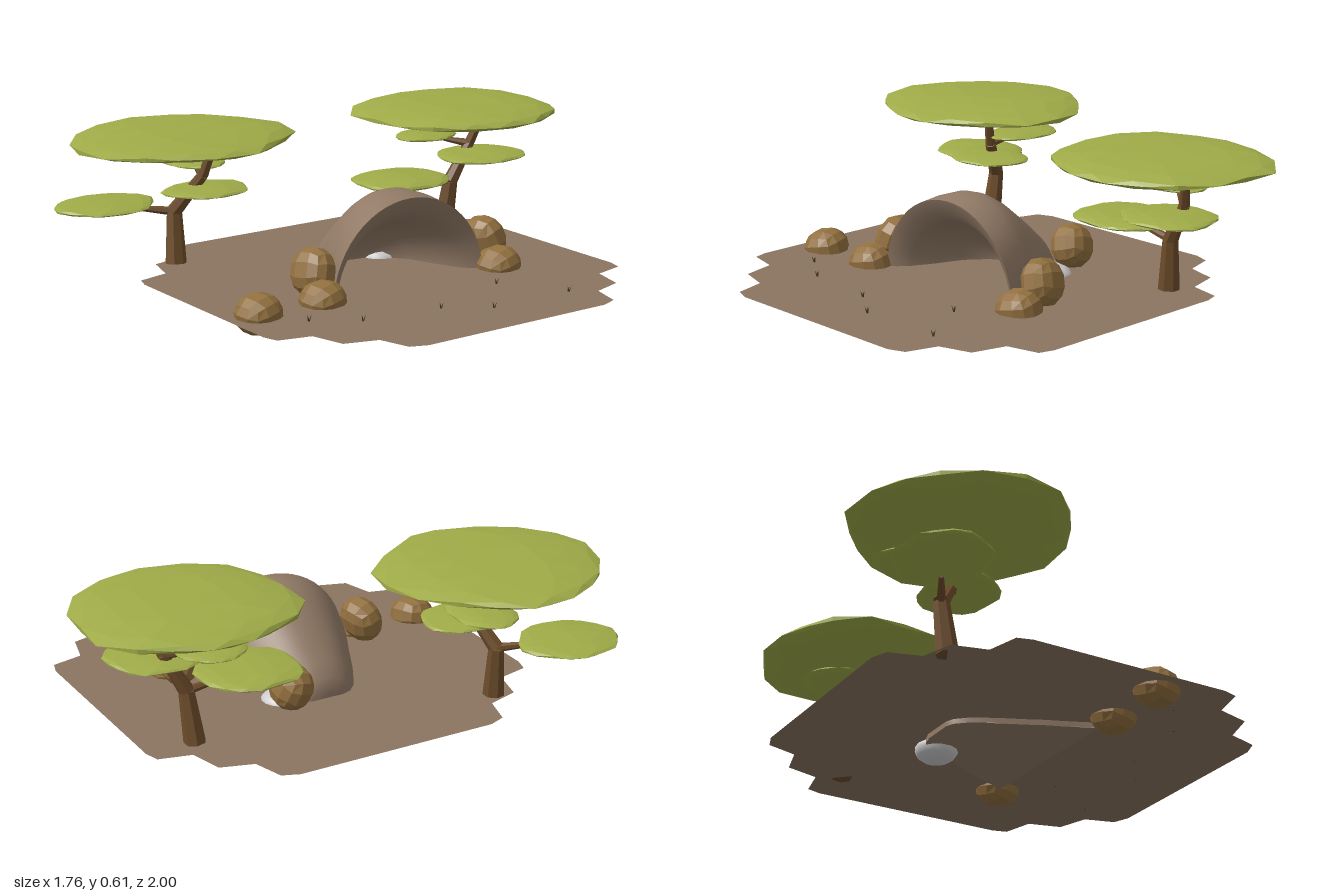
import * as THREE from 'three';

const mat = (color, extra = {}) => {
  const m = new THREE.MeshStandardMaterial({ color, ...extra });
  return m;
};
const flat = { flatShading: true };
const groundMat = mat(0x8b7460, { side: THREE.DoubleSide });
const caveMat = mat(0x917a66, { side: THREE.DoubleSide });
const rockMat = mat(0x92703f, flat);
const greyMat = mat(0xcccccc);
const barkMat = mat(0x6e4d2b, flat);
const leafMat = mat(0x9fab48, flat);
const grassMat = mat(0x4a3a22, flat);
const V = (x, y, z) => new THREE.Vector3(x, y, z);

function add(parent, name, geometry, material) {
  const mesh = new THREE.Mesh(geometry, material);
  mesh.name = name;
  parent.add(mesh);
  return mesh;
}

// Flat shape lying in the xz plane at height y
function flatShape(points, y) {
  const shape = new THREE.Shape(points.map(([x, z]) => new THREE.Vector2(x, -z)));
  return new THREE.ShapeGeometry(shape).rotateX(-Math.PI / 2).translate(0, y, 0);
}

// Smooth skin over half-elliptic arches [x, halfWidth, height]
function archSkin(stations, baseY, centreZ, n = 28) {
  const pos = [], idx = [];
  stations.forEach(([x, w, h], i) => {
    for (let j = 0; j <= n; j++) {
      const t = (Math.PI * j) / n;
      pos.push(x, baseY + h * Math.sin(t), centreZ + w * Math.cos(t));
      if (i && j) {
        const a = i * (n + 1) + j, b = a - n - 1;
        idx.push(b - 1, a - 1, b, b, a - 1, a);
      }
    }
  });
  const g = new THREE.BufferGeometry();
  g.setAttribute('position', new THREE.Float32BufferAttribute(pos, 3));
  g.setIndex(idx);
  g.computeVertexNormals();
  return g;
}

// Tapered limb between two points
function limb(parent, name, a, b, r0, r1) {
  const dir = b.clone().sub(a);
  const m = add(parent, name, new THREE.CylinderGeometry(r1, r0, dir.length(), 7), barkMat);
  m.position.copy(a).add(b).multiplyScalar(0.5);
  m.quaternion.setFromUnitVectors(V(0, 1, 0), dir.normalize());
}

// Irregular flattened leaf pad
function leafPad(parent, [x, y, z, rx, ry, rz], seed) {
  const g = new THREE.IcosahedronGeometry(1, 2);
  const p = g.attributes.position;
  for (let i = 0; i < p.count; i++) {
    const v = V().fromBufferAttribute(p, i);
    const k = 1 + 0.04 * Math.sin(v.x * 5 + seed) + 0.04 * Math.sin(v.z * 7 + seed * 2) * Math.cos(v.y * 4);
    p.setXYZ(i, v.x * k, v.y * (v.y < 0 ? 0.8 : 1) * k, v.z * k);
  }
  g.scale(rx, ry, rz);
  g.computeVertexNormals();
  add(parent, 'leafPad', g, leafMat).position.set(x, y, z);
}

function tree(name, base, fork, knee, tip, pads, seed) {
  const g = new THREE.Group();
  g.name = name;
  limb(g, 'trunk', base, fork, 0.042, 0.03);
  limb(g, 'mainBranch', fork, knee, 0.03, 0.021);
  limb(g, 'upperBranch', knee, tip, 0.021, 0.015);
  // Short stubs reach from the trunk and the knee towards the pads
  const starts = [tip, fork, fork.clone().lerp(knee, 0.5), knee];
  pads.forEach((pad, i) => {
    leafPad(g, pad, seed + i);
    if (i) limb(g, 'sideBranch', starts[i], starts[i].clone().lerp(V(pad[0], pad[1], pad[2]), 0.6), 0.018, 0.009);
  });
  // Forked twigs under the crown
  const mid = knee.clone().lerp(tip, 0.6);
  for (const s of [-1, 1]) limb(g, 'twig', mid, mid.clone().add(V(0.04 * s, 0.045, 0.03 * s)), 0.014, 0.008);
  return g;
}

// Boulder: cube grid rounded into a faceted ball
function boulder(parent, [x, y, z, rx, ry, rz, a, b]) {
  const g = new THREE.BoxGeometry(1, 1, 1, 3, 3, 3);
  const p = g.attributes.position;
  for (let i = 0; i < p.count; i++) {
    const v = V().fromBufferAttribute(p, i).normalize();
    p.setXYZ(i, v.x, v.y, v.z);
  }
  g.computeVertexNormals();
  const m = add(parent, 'boulder', g, rockMat);
  m.scale.set(rx, ry, rz);
  m.position.set(x, y, z);
  m.rotation.set(a, 0.2, b);
}

export function createModel() {
  const root = new THREE.Group();
  root.name = 'rockShelterScene';

  // Ground: one stepped corner mirrored to all four
  const corner = [[0.803, 0.4], [0.778, 0.465], [0.658, 0.5], [0.62, 0.625], [0.488, 0.66], [0.458, 0.785], [0.4, 0.802]];
  const back = [...corner].reverse();
  const outline = [
    ...corner, ...back.map(([x, z]) => [-x, z]),
    ...corner.map(([x, z]) => [-x, -z]), ...back.map(([x, z]) => [x, -z]),
  ].map(([x, z]) => [x + 0.072, z + 0.018]);
  add(root, 'ground', flatShape(outline, 0.07), groundMat);

  // Cave: outer shell, hollow inside and floor
  const cave = new THREE.Group();
  cave.name = 'cave';
  root.add(cave);
  const outer = [
    [-0.245, 0, 0.03], [-0.245, 0.07, 0.06], [-0.232, 0.105, 0.1], [-0.19, 0.145, 0.15], [-0.1, 0.195, 0.23],
    [0, 0.24, 0.31], [0.06, 0.27, 0.345], [0.11, 0.29, 0.36], [0.18, 0.32, 0.358], [0.237, 0.347, 0.345],
  ];
  add(cave, 'caveShell', archSkin(outer, 0.05, 0.012), caveMat);
  const inner = [
    [0.237, 0.347, 0.345], [0.215, 0.315, 0.295], [0.17, 0.28, 0.25], [0.08, 0.24, 0.22],
    [-0.03, 0.2, 0.18], [-0.11, 0.14, 0.12], [-0.15, 0.07, 0.06], [-0.16, 0, 0.03],
  ];
  add(cave, 'caveHollow', archSkin(inner, 0.05, 0.012), caveMat);
  const side = outer.slice(1).map(([x, w]) => [x, w]);
  const floor = [...side.map(([x, w]) => [x, 0.012 + w]), ...side.reverse().map(([x, w]) => [x, 0.012 - w])];
  add(cave, 'caveFloor', flatShape(floor, 0.048), caveMat);

  // Boulders around the cave: x, y, z, radii, tilts
  [
    [0.26, 0.08, -0.395, 0.088, 0.075, 0.09, 0.2, -0.15],
    [0.26, 0.08, 0.425, 0.088, 0.075, 0.09, 0.2, -0.15],
    [0.258, 0.08, 0.7, 0.088, 0.075, 0.09, 0.2, -0.15],
    [0.155, 0.16, -0.41, 0.095, 0.095, 0.072, 0.3, 0.2],
    [0.155, 0.16, 0.395, 0.095, 0.095, 0.072, -0.3, 0.2],
    [-0.258, 0.16, -0.155, 0.09, 0.09, 0.08, 0.25, 0.3],
  ].forEach((b) => boulder(root, b));
  const stone = add(root, 'greyStone', new THREE.SphereGeometry(1, 14, 9), greyMat);
  stone.scale.set(0.082, 0.052, 0.085);
  stone.position.set(-0.16, 0.055, -0.14);

  // Flat-topped trees; the first pad of each is the crown
  root.add(tree('leftTree', V(-0.52, 0.07, 0.57), V(-0.54, 0.27, 0.56), V(-0.44, 0.42, 0.49), V(-0.4, 0.55, 0.46), [
    [-0.465, 0.57, 0.565, 0.405, 0.046, 0.425],
    [-0.67, 0.302, 0.79, 0.17, 0.022, 0.205],
    [-0.43, 0.367, 0.485, 0.14, 0.018, 0.175],
    [-0.585, 0.45, 0.455, 0.165, 0.018, 0.115],
  ], 1));
  root.add(tree('rightTree', V(-0.33, 0.07, -0.59), V(-0.31, 0.27, -0.61), V(-0.29, 0.42, -0.69), V(-0.25, 0.55, -0.73), [
    [-0.275, 0.573, -0.595, 0.39, 0.046, 0.405],
    [-0.325, 0.305, -0.37, 0.18, 0.024, 0.205],
    [-0.21, 0.388, -0.685, 0.165, 0.02, 0.19],
    [-0.4, 0.452, -0.55, 0.11, 0.018, 0.13],
  ], 4));

  // Grass tufts: three thin blades each
  [[0.435, -0.24], [0.67, -0.39], [0.67, -0.035], [0.56, 0.12], [0.52, 0.435], [0.41, 0.59]].forEach(([x, z]) => {
    const tuft = new THREE.Group();
    tuft.name = 'grassTuft';
    tuft.position.set(x, 0.07, z);
    for (let i = 0; i < 3; i++) {
      const blade = add(tuft, 'blade', new THREE.ConeGeometry(0.004, 0.026, 4).translate(0, 0.013, 0), grassMat);
      blade.rotation.set(0, (i * Math.PI * 2) / 3, 0.4);
    }
    root.add(tuft);
  });
  return root;
}
